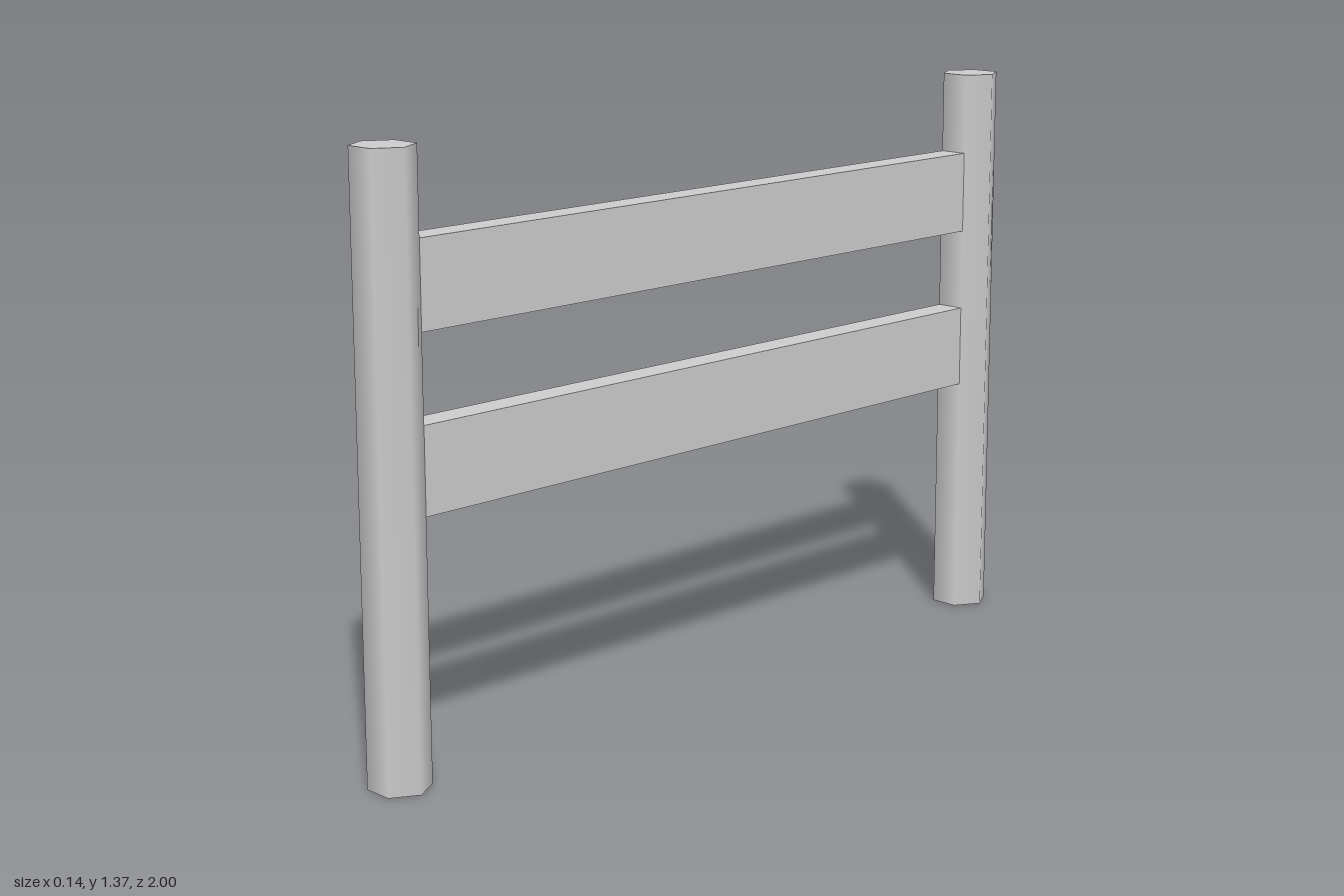
import * as THREE from 'three';

export function createModel() {
  const model = new THREE.Group();
  model.name = 'fence';
  const material = new THREE.MeshStandardMaterial({ color: 0xcccccc });

  const postRadius = 0.07;
  const postHeight = 1.37;
  const apothem = postRadius * Math.cos(Math.PI / 6);
  const postZ = 1 - apothem;

  function addPart(name, geometry, y, z) {
    const mesh = new THREE.Mesh(geometry, material);
    mesh.name = name;
    mesh.position.set(0, y, z);
    model.add(mesh);
  }

  // Six-sided posts with smooth sides, flats facing the rails
  const post = new THREE.CylinderGeometry(postRadius, postRadius, postHeight, 6, 1, false, Math.PI / 6);
  addPart('frontPost', post, postHeight / 2, postZ);
  addPart('backPost', post, postHeight / 2, -postZ);

  // Rails as wide as a post flat, spanning between the posts
  const rail = new THREE.BoxGeometry(postRadius, 0.196, 2 * (postZ - apothem));
  addPart('lowerRail', rail, 0.686, 0);
  addPart('upperRail', rail, 1.078, 0);

  return model;
}
